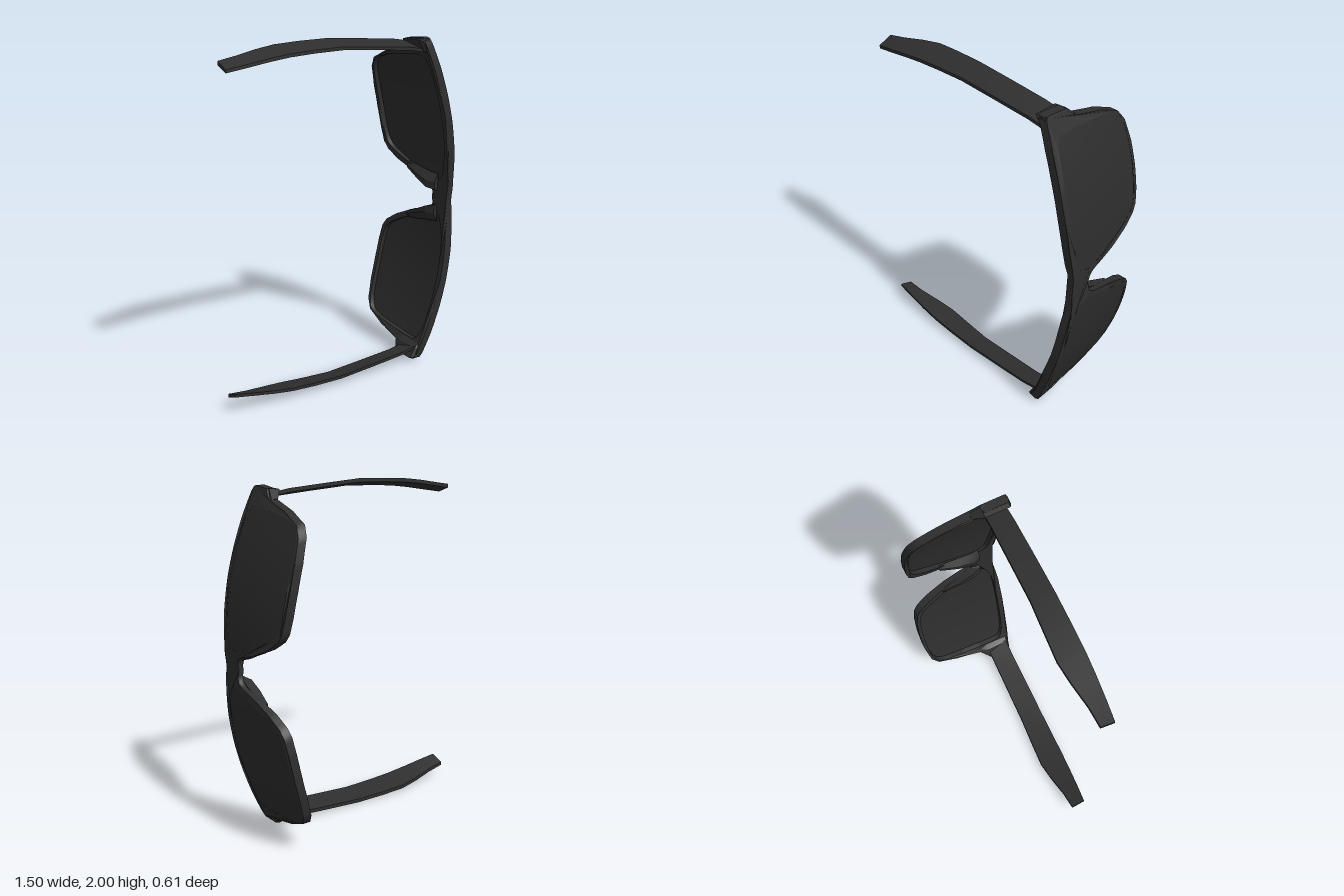
import * as THREE from 'three';
import { toCreasedNormals } from 'three/addons/utils/BufferGeometryUtils.js';

const frameMat = new THREE.MeshStandardMaterial({ color: 0x2e2e2e });
frameMat.name = 'dark frame';
const lensMat = new THREE.MeshStandardMaterial({ color: 0x2c2c2c, side: THREE.DoubleSide });
lensMat.name = 'tinted lens';

// Half outlines as [z, distance from the bridge centre]
const frameHalf = [
  [0.27, 0], [0.275, 0.12], [0.297, 0.3], [0.305, 0.5], [0.303, 0.65], [0.295, 0.82], [0.28, 0.95], [0.27, 0.978],
  [0.25, 0.985], [0.13, 0.975], [0.118, 0.96], [0.085, 0.927], [-0.1, 0.88], [-0.23, 0.825], [-0.272, 0.765],
  [-0.295, 0.64], [-0.3, 0.5], [-0.295, 0.37], [-0.28, 0.28], [-0.25, 0.235], [-0.17, 0.182], [-0.05, 0.128],
  [0.09, 0.085], [0.12, 0.068], [0.133, 0.045], [0.135, 0],
];
const lensHalf = [
  [0.27, 0.5], [0.264, 0.72], [0.25, 0.82], [0.22, 0.872], [0.16, 0.879], [0.02, 0.868], [-0.12, 0.85], [-0.22, 0.818],
  [-0.255, 0.76], [-0.273, 0.62], [-0.275, 0.48], [-0.265, 0.34], [-0.24, 0.275], [-0.17, 0.225], [-0.03, 0.162],
  [0.1, 0.12], [0.17, 0.112], [0.22, 0.14], [0.25, 0.23], [0.265, 0.36],
];

// Wrapped front surface and rim thickness
const frontX = (z, u) => 0.75 - 0.23 * u * u - 0.13 * Math.min(0, z - 0.15) ** 2
  - 0.013 * Math.max(0, 1 - u / 0.1) ** 2;
const thickness = (u) => 0.03 + 0.02 * THREE.MathUtils.smoothstep(u, 0.06, 0.2);

// Shape plane: x is -z, y is the distance across
const flat = (pts, side) => pts.map(([z, u]) => new THREE.Vector2(-z, side * u));

function subdivide(pts, step) {
  const out = [];
  pts.forEach((p, i) => {
    const q = pts[(i + 1) % pts.length];
    const n = Math.max(1, Math.ceil(p.distanceTo(q) / step));
    for (let k = 0; k < n; k++) out.push(p.clone().lerp(q, k / n));
  });
  return out;
}

function lensOutline(side) {
  const curve = new THREE.CatmullRomCurve3(flat(lensHalf, side).map((p) => new THREE.Vector3(p.x, p.y, 0)), true);
  const pts = curve.getPoints(72).slice(0, -1).map((p) => new THREE.Vector2(p.x, p.y));
  return THREE.ShapeUtils.isClockWise(pts) ? pts.reverse() : pts;
}

function makeFrame() {
  const outline = [...flat(frameHalf, 1), ...flat(frameHalf.slice(1, -1), -1).reverse()];
  const shape = new THREE.Shape(subdivide(outline, 0.04));
  for (const s of [1, -1]) shape.holes.push(new THREE.Path(lensOutline(s)));
  const geo = new THREE.ExtrudeGeometry(shape, { depth: 1, bevelEnabled: false });
  const pos = geo.attributes.position;
  for (let i = 0; i < pos.count; i++) {
    const z = -pos.getX(i), y = pos.getY(i), u = Math.abs(y);
    pos.setXYZ(i, frontX(z, u) - (1 - pos.getZ(i)) * thickness(u), y + 1, z);
  }
  return new THREE.Mesh(toCreasedNormals(geo, 0.6), frameMat);
}

// Curved sheet of rings shrinking towards the lens centre
function makeLens(side, inset, back) {
  const rim = lensOutline(side), n = rim.length, rings = 7;
  const centre = new THREE.Vector2(0, side * 0.5);
  const pos = [], index = [];
  for (let r = 0; r <= rings; r++) {
    for (const p of rim) {
      const q = centre.clone().lerp(p, Math.max(r / rings, 0.001));
      pos.push(frontX(-q.x, Math.abs(q.y)) - inset, q.y + 1, -q.x);
    }
  }
  for (let r = 0; r < rings; r++) {
    for (let i = 0; i < n; i++) {
      const a = r * n + i, b = r * n + (i + 1) % n, c = a + n, d = b + n;
      if (back) index.push(a, b, c, b, d, c);
      else index.push(a, c, b, b, c, d);
    }
  }
  const geo = new THREE.BufferGeometry();
  geo.setAttribute('position', new THREE.Float32BufferAttribute(pos, 3));
  geo.setIndex(index);
  geo.computeVertexNormals();
  return new THREE.Mesh(geo, lensMat);
}

// Solid through cross-sections of [x, across, z] corners, turned outward
function loft(sections, side, crease) {
  const rings = sections.map((s) => s.map(([x, u, z]) => new THREE.Vector3(x, 1 + side * u, z)));
  const n = rings[0].length, last = rings.length - 1, tris = [];
  for (let r = 0; r < last; r++) {
    for (let i = 0; i < n; i++) {
      const j = (i + 1) % n, A = rings[r], B = rings[r + 1];
      tris.push([A[i], A[j], B[i]], [A[j], B[j], B[i]]);
    }
  }
  for (let i = 1; i < n - 1; i++) {
    tris.push([rings[0][0], rings[0][i + 1], rings[0][i]]);
    tris.push([rings[last][0], rings[last][i], rings[last][i + 1]]);
  }
  const volume = tris.reduce((v, [a, b, c]) => v + a.dot(b.clone().cross(c)), 0);
  const pts = tris.flatMap(([a, b, c]) => (volume < 0 ? [a, c, b] : [a, b, c]));
  const geo = new THREE.BufferGeometry().setFromPoints(pts);
  return new THREE.Mesh(toCreasedNormals(geo, crease), frameMat);
}

// Temple stations: x, lower z, upper z, outermost distance
const templeStations = [
  [0.52, 0.13, 0.26, 0.95], [0.4, 0.128, 0.26, 0.97], [0.17, 0.121, 0.257, 0.986], [-0.06, 0.114, 0.253, 1],
  [-0.24, 0.1, 0.249, 0.994], [-0.39, 0.09, 0.245, 0.984], [-0.51, 0.104, 0.238, 0.968],
  [-0.64, 0.127, 0.228, 0.946], [-0.75, 0.135, 0.217, 0.928],
];
const templeSections = templeStations.map(([x, z0, z1, u]) => [
  [x, u, z0], [x, u - 0.035, z1], [x, u - 0.053, z1], [x, u - 0.022, z0],
]);

const hingeSections = [
  [[0.5, 0.925], [0.54, 0.925], [0.56, 0.88], [0.525, 0.885], [0.51, 0.905]].map((p) => [...p, 0.07]),
  [[0.455, 0.97], [0.52, 0.976], [0.56, 0.885], [0.525, 0.88], [0.49, 0.91]].map((p) => [...p, 0.125]),
  [[0.455, 0.972], [0.52, 0.982], [0.56, 0.885], [0.53, 0.88], [0.49, 0.91]].map((p) => [...p, 0.265]),
  [[0.475, 0.965], [0.52, 0.974], [0.555, 0.885], [0.535, 0.89], [0.505, 0.91]].map((p) => [...p, 0.277]),
];

const padSections = [
  [[0.715, 0.038], [0.688, 0.05], [0.685, 0.1], [0.71, 0.15]].map((p) => [...p, 0.18]),
  [[0.72, 0.06], [0.668, 0.06], [0.665, 0.1], [0.7, 0.155]].map((p) => [...p, 0.12]),
  [[0.715, 0.105], [0.668, 0.1], [0.668, 0.125], [0.7, 0.17]].map((p) => [...p, 0.03]),
  [[0.705, 0.143], [0.685, 0.142], [0.685, 0.16], [0.7, 0.185]].map((p) => [...p, -0.08]),
];

export function createModel() {
  const model = new THREE.Group();
  model.name = 'sunglasses';
  const add = (mesh, name) => {
    mesh.name = name;
    model.add(mesh);
  };
  add(makeFrame(), 'frontFrame');
  for (const [side, label] of [[1, 'upper'], [-1, 'lower']]) {
    add(makeLens(side, 0.001, false), label + 'LensFront');
    add(makeLens(side, 0.02, true), label + 'LensBack');
    add(loft(templeSections, side, 0.25), label + 'Temple');
    add(loft(hingeSections, side, 0.3), label + 'Hinge');
    add(loft(padSections, side, 0.3), label + 'NosePad');
  }
  return model;
}
